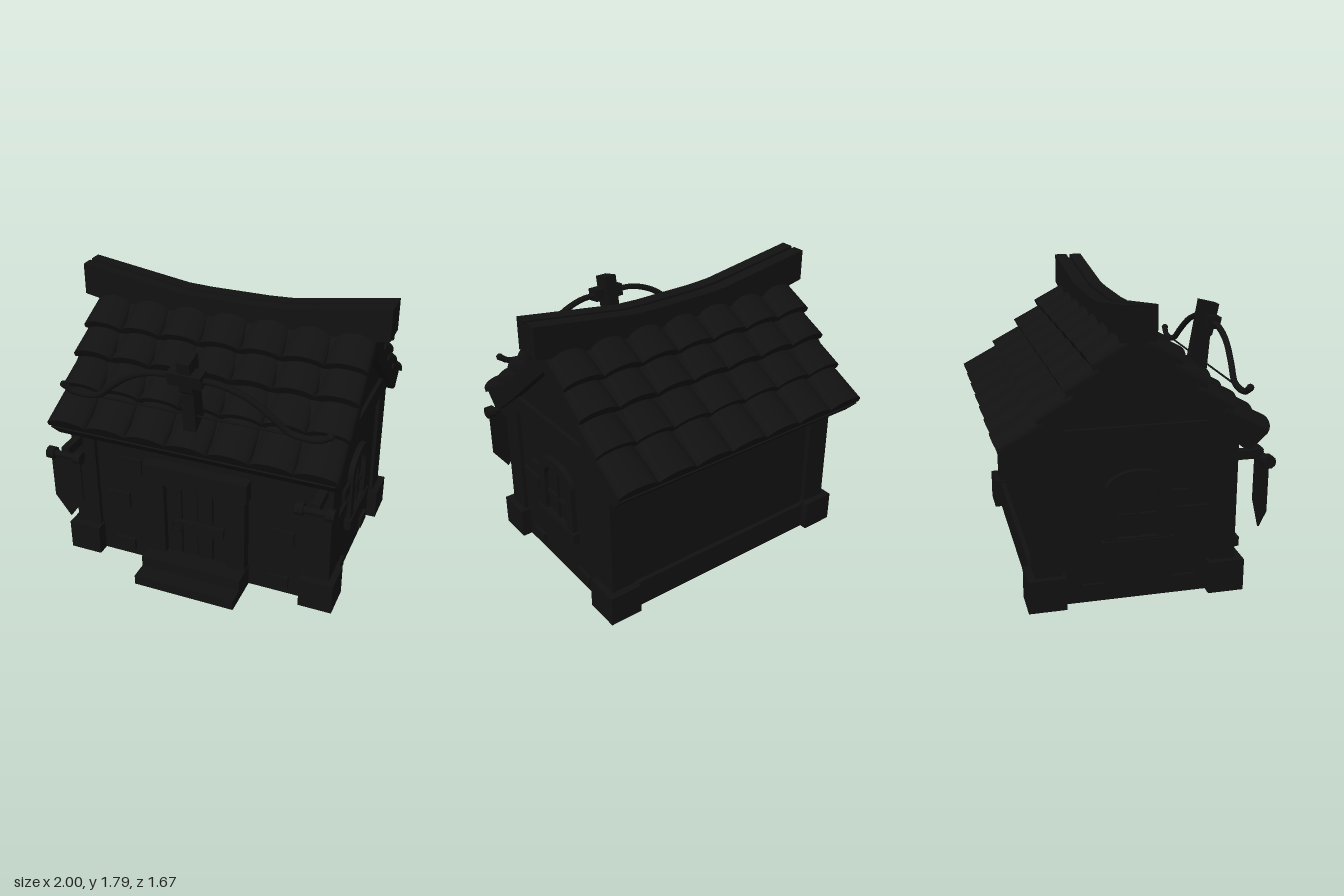
import * as THREE from 'three';

const dark = new THREE.MeshStandardMaterial({ color: 0x111111, flatShading: true });
const smooth = new THREE.MeshStandardMaterial({ color: 0x111111 });
const cloth = new THREE.MeshStandardMaterial({ color: 0x111111, side: THREE.DoubleSide });

export function createModel() {
  const model = new THREE.Group();
  model.name = 'house';

  const add = (name, geo, parent = model, mat = dark) => {
    const m = new THREE.Mesh(geo, mat);
    m.name = name;
    parent.add(m);
    return m;
  };
  // Box given by its limits on each axis
  const box = (name, x0, x1, y0, y1, z0, z1, parent = model) => {
    const m = add(name, new THREE.BoxGeometry(x1 - x0, y1 - y0, z1 - z0), parent);
    m.position.set((x0 + x1) / 2, (y0 + y1) / 2, (z0 + z1) / 2);
    return m;
  };
  const polygon = (pts) => new THREE.Shape(pts.map(([x, y]) => new THREE.Vector2(x, y)));
  const extrude = (shape, depth) =>
    new THREE.ExtrudeGeometry(shape, { depth, bevelEnabled: false, curveSegments: 12 });
  // Extrusion along x; shape coordinates are (-z, y)
  const extrudeX = (shape, x0, x1) =>
    extrude(shape, x1 - x0).rotateY(Math.PI / 2).translate(x0, 0, 0);

  // Walls, corner posts, stone feet and low plinths
  box('walls', -0.84, 0.84, 0, 1.0, -0.58, 0.57);
  for (const s of [-1, 1]) {
    for (const [z0, z1, f0, f1] of [[0.45, 0.6, 0.43, 0.65], [-0.61, -0.45, -0.655, -0.43]]) {
      const [a, b] = s > 0 ? [0.7, 0.865] : [-0.865, -0.7];
      const [c, d] = s > 0 ? [0.69, 0.905] : [-0.905, -0.69];
      box('cornerPost', a, b, 0.2, 0.98, z0, z1);
      box('cornerFoot', c, d, 0, 0.2, f0, f1);
    }
    const [a, b] = s > 0 ? [0.8, 0.87] : [-0.87, -0.8];
    box('tieBeam', a, b, 0.96, 1.08, -0.58, 0.56);
  }
  box('backPlinth', -0.7, 0.7, 0, 0.18, -0.61, -0.57);

  // Loose bricks standing out of the walls
  const frontBricks = [[-0.545, -0.385, 0.66, 0.76], [-0.64, -0.48, 0.38, 0.49],
    [0.49, 0.63, 0.38, 0.48], [-0.6, -0.46, 0.05, 0.13], [0.46, 0.6, 0.05, 0.13]];
  for (const [x0, x1, y0, y1] of frontBricks) box('frontBrick', x0, x1, y0, y1, 0.55, 0.59);
  const sideBricks = [[0.18, 0.31, 0.59, 0.67], [0.24, 0.42, 0.47, 0.56],
    [0.22, 0.35, 0.05, 0.12], [-0.33, -0.2, 0.05, 0.12]];
  for (const [z0, z1, y0, y1] of sideBricks)
    for (const s of [-1, 1]) box('sideBrick', s * 0.84 - 0.02, s * 0.84 + 0.02, y0, y1, z0, z1);

  // Door with frame, planks, bolt and steps
  const door = new THREE.Group();
  door.name = 'door';
  model.add(door);
  for (const s of [-1, 1]) box('doorJamb', s * 0.27 - 0.06, s * 0.27 + 0.06, 0.1, 0.67, 0.56, 0.64, door);
  box('doorLintel', -0.345, 0.345, 0.66, 0.79, 0.56, 0.65, door);
  for (let i = 0; i < 4; i++) {
    const x = -0.21 + i * 0.105;
    box('doorPlank', x + 0.003, x + 0.102, 0.13, 0.66, 0.56, i % 2 ? 0.597 : 0.603, door);
  }
  box('doorBolt', -0.15, 0.18, 0.335, 0.4, 0.59, 0.62, door);
  const knob = add('doorRing', new THREE.TorusGeometry(0.035, 0.01, 6, 16), door, smooth);
  knob.position.set(-0.13, 0.365, 0.625);
  box('lowerStep', -0.335, 0.335, 0, 0.065, 0.5, 0.845);
  box('upperStep', -0.335, 0.335, 0.065, 0.14, 0.5, 0.735);

  // Arched windows on both sides
  const arch = (w, y0, y1, rise) => {
    const s = new THREE.Shape();
    s.moveTo(-w, y0).lineTo(w, y0).lineTo(w, y1);
    s.absellipse(0, y1, w, rise, 0, Math.PI, false);
    return s;
  };
  for (const side of [1, -1]) {
    const win = new THREE.Group();
    win.name = 'window';
    if (side < 0) win.rotation.y = Math.PI;
    model.add(win);
    const frame = arch(0.195, 0.38, 0.7, 0.115);
    frame.holes.push(arch(0.125, 0.4, 0.65, 0.11));
    add('windowFrame', extrudeX(frame, 0.83, 0.875), win);
    add('windowPane', extrudeX(arch(0.125, 0.4, 0.65, 0.11), 0.83, 0.845), win);
    box('mullion', 0.84, 0.862, 0.4, 0.75, -0.014, 0.014, win);
    box('crossBar', 0.84, 0.86, 0.52, 0.545, -0.12, 0.12, win);
    box('windowSill', 0.83, 0.885, 0.32, 0.39, -0.215, 0.215, win);
  }

  // Roof: solid gable core, chevron slab and curved tiles
  const roof = new THREE.Group();
  roof.name = 'roof';
  roof.position.z = -0.025;
  model.add(roof);
  add('gable', extrudeX(polygon([[-0.57, 0.94], [0.57, 0.94], [0.57, 1.0], [0, 1.5], [-0.57, 1.0]]), -0.845, 0.845), roof);
  const upper = [[0.775, 0.985], [0.56, 1.14], [0.25, 1.43], [0.08, 1.57]];
  const lower = [[0, 1.45], [0.43, 1.08], [0.64, 0.91], [0.69, 0.9]];
  const flip = (pts) => pts.map(([x, y]) => [-x, y]).reverse();
  add('roofSlab', extrudeX(polygon([...lower, ...upper, ...flip(upper), ...flip(lower).slice(0, 3)]), -0.905, 0.905), roof);

  // Tile: half-ellipse section that narrows uphill; its origin is the crest of the lower end
  const tilt = 0.49, tileW = 0.264;
  const tileGeo = (len) => {
    const s = new THREE.Shape();
    s.moveTo(-tileW / 2, -0.08).lineTo(-tileW / 2, -0.06);
    s.absellipse(0, -0.06, tileW / 2, 0.06, Math.PI, 0, true);
    s.lineTo(tileW / 2, -0.08);
    const g = extrude(s, len);
    const p = g.attributes.position;
    for (let i = 0; i < p.count; i++) {
      const t = p.getZ(i) / len;
      p.setX(i, p.getX(i) * (1.01 - 0.08 * t));
    }
    g.computeVertexNormals();
    return g.rotateY(Math.PI).rotateX(tilt);
  };
  const rows = [[0.805, 1.06, 0.29], [0.595, 1.215, 0.24], [0.435, 1.365, 0.22], [0.285, 1.5, 0.23]];
  for (const turn of [0, Math.PI]) {
    const slope = new THREE.Group();
    slope.name = turn ? 'backTiles' : 'frontTiles';
    slope.rotation.y = turn;
    roof.add(slope);
    for (const [d, y, len] of rows) {
      const g = tileGeo(len);
      for (let c = -3; c <= 3; c++)
        add('roofTile', g, slope).position.set(c * 0.2643, y, d);
    }
  }

  // Upswept ridge made of two planks with a groove between them
  const ridgeTop = [[1, 1.79], [0.35, 1.692], [0.2, 1.685]];
  const ridgeLow = [[0.3, 1.5], [0.9, 1.57], [1, 1.59]];
  const ridge = polygon([...ridgeLow, ...ridgeTop, ...flip(ridgeTop), ...flip(ridgeLow)]);
  for (const [z0, depth] of [[-0.125, 0.08], [-0.02, 0.08]])
    add('ridgePlank', extrude(ridge, depth).translate(0, 0, z0));
  add('ridgeCore', extrude(ridge, 0.026).translate(0, -0.025, -0.046));

  // Bow on an upright stock, leaning forward over the front roof
  const bow = new THREE.Group();
  bow.name = 'bowOrnament';
  model.add(bow);
  add('bowStock', extrudeX(polygon([[-0.755, 1.58], [-0.715, 1.385], [-0.7, 1.37], [-0.68, 1.1],
    [-0.55, 1.1], [-0.57, 1.22], [-0.635, 1.61]]), -0.04, 0.04), bow);
  const block = box('bowBlock', -0.105, 0.105, 1.435, 1.515, 0.655, 0.745, bow);
  block.rotation.x = 0.17;
  const lean = (y) => 0.7 + (y - 1.47) * 0.17;
  for (const s of [-1, 1]) {
    const pts = [[0.05, 1.47], [0.2, 1.465], [0.36, 1.41], [0.5, 1.31], [0.6, 1.225], [0.7, 1.205], [0.79, 1.215], [0.84, 1.25]];
    const curve = new THREE.CatmullRomCurve3(pts.map(([x, y]) => new THREE.Vector3(s * x, y, lean(y))));
    add('bowLimb', new THREE.TubeGeometry(curve, 36, 0.02, 8), bow, smooth);
    add('bowTip', new THREE.SphereGeometry(0.023, 10, 8), bow, smooth).position.set(s * 0.84, 1.25, lean(1.25));
  }
  const string = add('bowString', new THREE.CylinderGeometry(0.006, 0.006, 1.6, 6).rotateZ(Math.PI / 2), bow, smooth);
  string.position.set(0, 1.21, lean(1.21));

  // Pointed banners hanging from rods at the front corners
  for (const s of [-1, 1]) {
    const banner = new THREE.Group();
    banner.name = 'banner';
    banner.position.x = s * 0.807;
    model.add(banner);
    box('bannerBracket', -0.025, 0.025, 0.81, 0.865, 0.56, 0.77, banner);
    const rod = add('bannerRod', new THREE.CylinderGeometry(0.022, 0.022, 0.22, 10).rotateZ(Math.PI / 2), banner, smooth);
    rod.position.set(0, 0.815, 0.772);
    for (const e of [-1, 1]) {
      const cap = add('rodEnd', new THREE.CylinderGeometry(0.04, 0.04, 0.05, 10).rotateZ(Math.PI / 2), banner);
      cap.position.set(e * 0.092, 0.815, 0.772);
    }
    const flag = polygon([[-0.1, 0.81], [-0.1, 0.5], [0, 0.36], [0.1, 0.5], [0.1, 0.81]]);
    add('bannerCloth', extrude(flag, 0.01).translate(0, 0, 0.765), banner, cloth);
  }
  return model;
}
